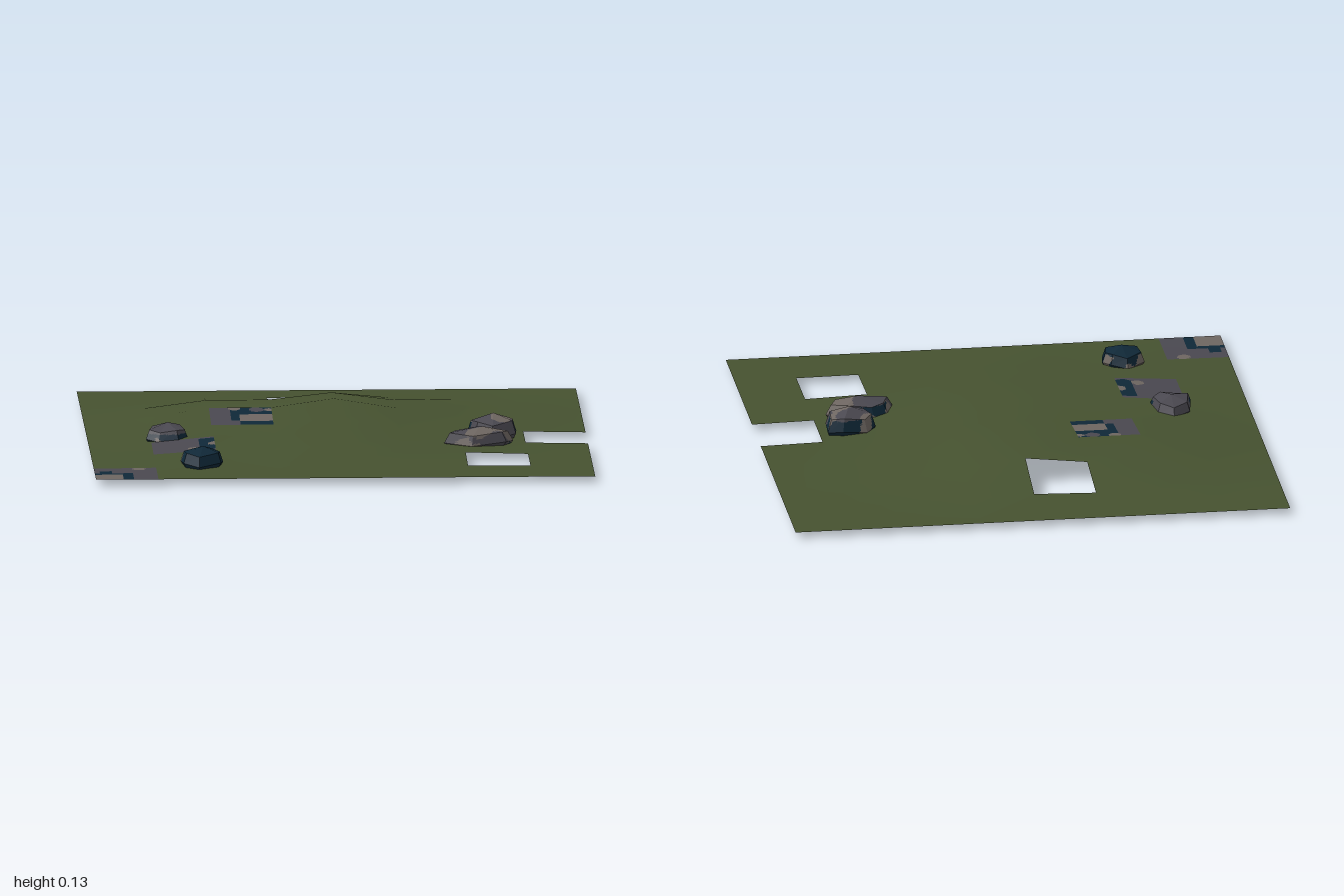
import * as THREE from 'three';

const mat = (name, color, side = THREE.FrontSide) => {
  const m = new THREE.MeshStandardMaterial({ color, side });
  m.name = name;
  return m;
};
const grass = mat('grass green', 0x465230, THREE.DoubleSide);
const camo = [mat('stone grey', 0x4a4850, THREE.DoubleSide), mat('deep navy', 0x0f2838, THREE.DoubleSide),
  mat('pale taupe', 0x6e6661, THREE.DoubleSide)];
const GREY = 0, NAVY = 1, PALE = 2;

// Gentle hill: product of two cross-sections on an 8 x 8 cell grid
const hillX = [0, 0.025, 0.065, 0.065, 0.1, 0.06, 0.025, 0.008, 0];
const hillZ = [0, 0.02, 0.08, 0.1, 0.062, 0.06, 0.045, 0.01, 0];
const sample = (list, t) => {
  const i = Math.min(7, Math.max(0, Math.floor((t + 1) * 4)));
  return THREE.MathUtils.lerp(list[i], list[i + 1], (t + 1) * 4 - i);
};
const height = (x, z) => 0.025 + sample(hillX, x) * sample(hillZ, z) * 10;

// Geometry from triangles sorted into one group per material
function grouped(buckets) {
  const g = new THREE.BufferGeometry();
  const all = [];
  buckets.forEach((tris, i) => {
    g.addGroup(all.length / 3, tris.length * 3, i);
    tris.forEach(t => t.forEach(p => all.push(p.x, p.y, p.z)));
  });
  g.setAttribute('position', new THREE.Float32BufferAttribute(all, 3));
  g.computeVertexNormals();
  return g;
}

function addMesh(group, name, geometry, material) {
  const m = new THREE.Mesh(geometry, material);
  m.name = name;
  group.add(m);
}

// Ground sheet that leaves out the open and the painted cells
function ground(skipped) {
  const pos = [], index = [];
  for (let j = 0; j <= 8; j++) for (let i = 0; i <= 8; i++) {
    const x = -1 + i / 4, z = -1 + j / 4;
    pos.push(x, height(x, z), z);
  }
  for (let j = 0; j < 8; j++) for (let i = 0; i < 8; i++) {
    if (skipped.some(([a, b]) => a === i && b === j)) continue;
    const a = j * 9 + i, b = a + 1, c = a + 9, d = a + 10;
    index.push(a, c, b, b, c, d);
  }
  const g = new THREE.BufferGeometry();
  g.setAttribute('position', new THREE.Float32BufferAttribute(pos, 3));
  g.setIndex(index);
  g.computeVertexNormals();
  return g;
}

// Painted cell: later patches cover earlier ones; 3 numbers = disc, 4 = rectangle
function tile(i, j, patches) {
  const n = 36, x0 = -1 + i / 4, z0 = -1 + j / 4, buckets = [[], [], []];
  const at = (a, b) => {
    const x = x0 + a * 0.25 / n, z = z0 + b * 0.25 / n;
    return new THREE.Vector3(x, height(x, z), z);
  };
  for (let b = 0; b < n; b++) for (let a = 0; a < n; a++) {
    const c = at(a + 0.5, b + 0.5);
    let k = GREY;
    for (const [paint, p, q, r, s] of patches) {
      const inside = s === undefined ? Math.hypot(c.x - p, c.z - q) < r
        : c.x > p && c.z > q && c.x < r && c.z < s;
      if (inside) k = paint;
    }
    buckets[k].push([at(a, b), at(a, b + 1), at(a + 1, b)], [at(a + 1, b), at(a, b + 1), at(a + 1, b + 1)]);
  }
  return grouped(buckets);
}

// Faceted rock from a plan outline; paint(u, v, w) picks the colour of each small piece
function rock(outline, y0, y1, paint) {
  const n = outline.length;
  const xs = outline.map(p => p[0]), zs = outline.map(p => p[1]);
  const cx = (Math.min(...xs) + Math.max(...xs)) / 2, cz = (Math.min(...zs) + Math.max(...zs)) / 2;
  const hx = Math.max(...xs) - cx, hz = Math.max(...zs) - cz, h = y1 - y0;
  const ring = (s, v, tilt) => outline.map(([x, z], i) =>
    new THREE.Vector3(cx + (x - cx) * s, y0 + h * (v + tilt * Math.sin(i * 2.3)), cz + (z - cz) * s));
  const rings = [ring(0.8, 0.06, 0.04), ring(1, 0.34, 0.06), ring(0.84, 0.74, 0.06)];
  const top = new THREE.Vector3(cx + hx * 0.05, y1, cz), base = new THREE.Vector3(cx, y0, cz);
  const faces = [];
  for (let i = 0; i < n; i++) {
    const j = (i + 1) % n;
    faces.push([base, rings[0][i], rings[0][j]], [rings[2][i], top, rings[2][j]]);
    for (let r = 0; r < 2; r++) {
      const lo = rings[r], hi = rings[r + 1];
      faces.push([lo[i], hi[i], lo[j]], [lo[j], hi[i], hi[j]]);
    }
  }
  // Split each facet finely so the colour patches get soft outlines
  const buckets = [[], [], []], m = 8;
  for (const [a, b, c] of faces) {
    const at = (s, t) => a.clone().addScaledVector(b.clone().sub(a), s / m).addScaledVector(c.clone().sub(a), t / m);
    const put = (...t) => {
      const p = t[0].clone().add(t[1]).add(t[2]).divideScalar(3);
      buckets[paint((p.x - cx) / hx, (p.y - y0) / h, (p.z - cz) / hz)].push(t);
    };
    for (let s = 0; s < m; s++) for (let t = 0; t < m - s; t++) {
      put(at(s, t), at(s + 1, t), at(s, t + 1));
      if (s + t < m - 1) put(at(s + 1, t), at(s + 1, t + 1), at(s, t + 1));
    }
  }
  return grouped(buckets);
}

const blob = (u, v, w, f, shift) => Math.sin(u * f + shift) * Math.cos(w * f - shift) + 0.5 * Math.sin(v * 5 + u * 3 + shift);

export function createModel() {
  const model = new THREE.Group();
  model.name = 'rockyGround';

  const holes = [[3, 1], [7, 4], [6, 6]];
  const tiles = [
    [2, 3, [[NAVY, -0.42, -0.25, -0.25, -0.17], [NAVY, -0.42, -0.19, -0.25, -0.06], [NAVY, -0.38, -0.1, -0.25, 0],
      [GREY, -0.31, -0.22, 0.03], [PALE, -0.4, -0.235, 0.025], [PALE, -0.26, -0.22, 0.02],
      [PALE, -0.38, -0.15, -0.25, -0.055]]],
    [1, 5, [[NAVY, -0.56, 0.27, -0.5, 0.46], [NAVY, -0.53, 0.45, 0.035], [PALE, -0.5, 0.37, 0.03], [PALE, -0.585, 0.445, 0.026]]],
    [0, 7, [[NAVY, -1, 0.86, -0.85, 1], [NAVY, -0.98, 0.81, -0.93, 0.87], [PALE, -1, 0.89, -0.89, 1], [PALE, -0.82, 0.772, 0.026]]],
  ];
  addMesh(model, 'ground', ground([...holes, ...tiles]), grass);
  tiles.forEach(([i, j, patches], k) => addMesh(model, `paintedTile${k + 1}`, tile(i, j, patches), camo));

  // Grey rock, dark around the front foot
  addMesh(model, 'leftBackRock', rock(
    [[-0.6, 0.2], [-0.64, 0.25], [-0.72, 0.25], [-0.77, 0.22], [-0.75, 0.1], [-0.68, 0.05], [-0.62, 0.09]], 0.015, 0.105,
    (u, v, w) => v > 0.6 || (v > 0.2 && w < 0.2) ? GREY : blob(u, v, w, 3, 1) > 0.5 ? PALE : NAVY), camo);
  // Navy rock with a grey underside
  addMesh(model, 'leftFrontRock', rock(
    [[-0.48, 0.71], [-0.49, 0.77], [-0.58, 0.82], [-0.64, 0.77], [-0.65, 0.69], [-0.575, 0.63], [-0.51, 0.66]], 0.01, 0.11,
    (u, v, w) => v < 0.12 ? GREY : v < 0.7 && w < -0.2 && blob(u, v, w, 4, 2) > 0.4 ? PALE : NAVY), camo);
  // Mottled rocks, dark at the back and below
  const mottled = shift => (u, v, w) => {
    const b = blob(u, v, w, 3.6, shift);
    if (v < 0.12 || (v < 0.7 && w < 0)) return b > 0.7 ? PALE : NAVY;
    return b > 0.15 ? PALE : GREY;
  };
  addMesh(model, 'rightBackRock', rock(
    [[0.72, 0.06], [0.715, 0.16], [0.62, 0.215], [0.55, 0.18], [0.52, 0.11], [0.56, 0.06], [0.66, 0.04]], 0, 0.13, mottled(0.8)), camo);
  addMesh(model, 'rightFrontRock', rock(
    [[0.7, 0.27], [0.67, 0.33], [0.53, 0.375], [0.42, 0.34], [0.45, 0.26], [0.51, 0.225], [0.63, 0.235]], 0.01, 0.108, mottled(2.1)), camo);
  return model;
}
